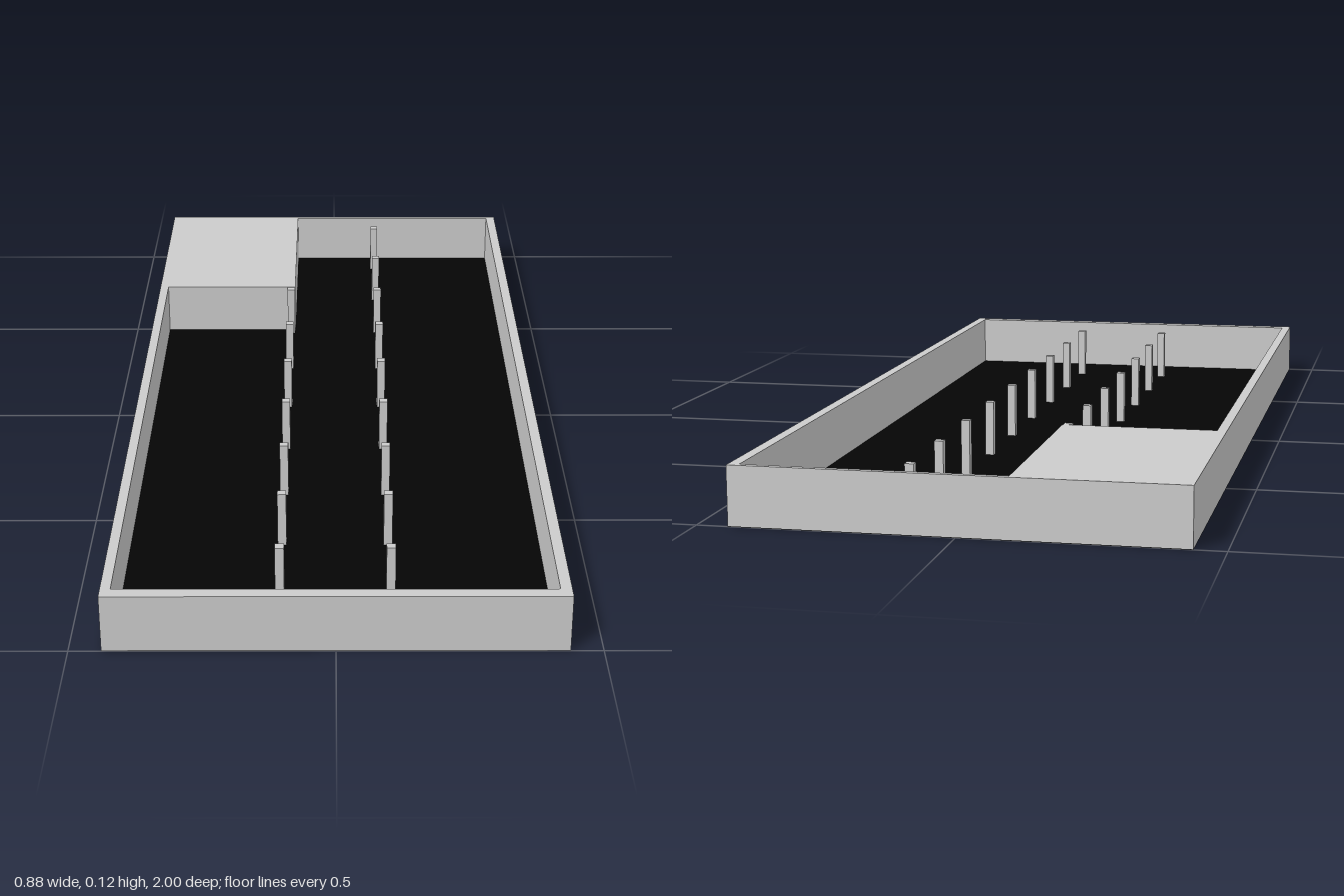
import * as THREE from 'three';

const HEIGHT = 0.118;
const FLOOR = 0.001;

export function createModel() {
  const group = new THREE.Group();
  const grey = new THREE.MeshStandardMaterial({ color: 0xcccccc });
  const black = new THREE.MeshStandardMaterial({ color: 0x050505 });

  const add = (name, geometry, material = grey) => {
    const mesh = new THREE.Mesh(geometry, material);
    mesh.name = name;
    group.add(mesh);
    return mesh;
  };

  // Thin dark floor under the whole footprint
  add('floor', new THREE.BoxGeometry(0.876, FLOOR, 2), black).position.y = FLOOR / 2;

  // Perimeter walls and solid back corner block as one plan (shape y = -z)
  const plan = new THREE.Shape([
    [-0.438, -1], [0.438, -1], [0.438, 1], [-0.438, 1],
  ].map(([x, y]) => new THREE.Vector2(x, y)));
  plan.holes.push(new THREE.Path([
    [-0.418, -0.973], [-0.418, 0.494], [-0.099, 0.494],
    [-0.099, 0.988], [0.416, 0.988], [0.416, -0.973],
  ].map(([x, y]) => new THREE.Vector2(x, y))));
  const walls = new THREE.ExtrudeGeometry(plan, { depth: HEIGHT - FLOOR, bevelEnabled: false });
  walls.rotateX(-Math.PI / 2);
  add('wallsAndCornerBlock', walls).position.y = FLOOR;

  // Two rows of square columns; the right row stops at the corner block
  const columnGeometry = new THREE.BoxGeometry(0.018, HEIGHT - FLOOR, 0.018);
  for (const [side, x, count] of [['left', 0.107, 9], ['right', -0.109, 7]]) {
    for (let i = 0; i < count; i++) {
      const column = add(`${side}Column${i + 1}`, columnGeometry);
      column.position.set(x, (HEIGHT + FLOOR) / 2, 0.813 - i * 0.216);
    }
  }
  return group;
}
